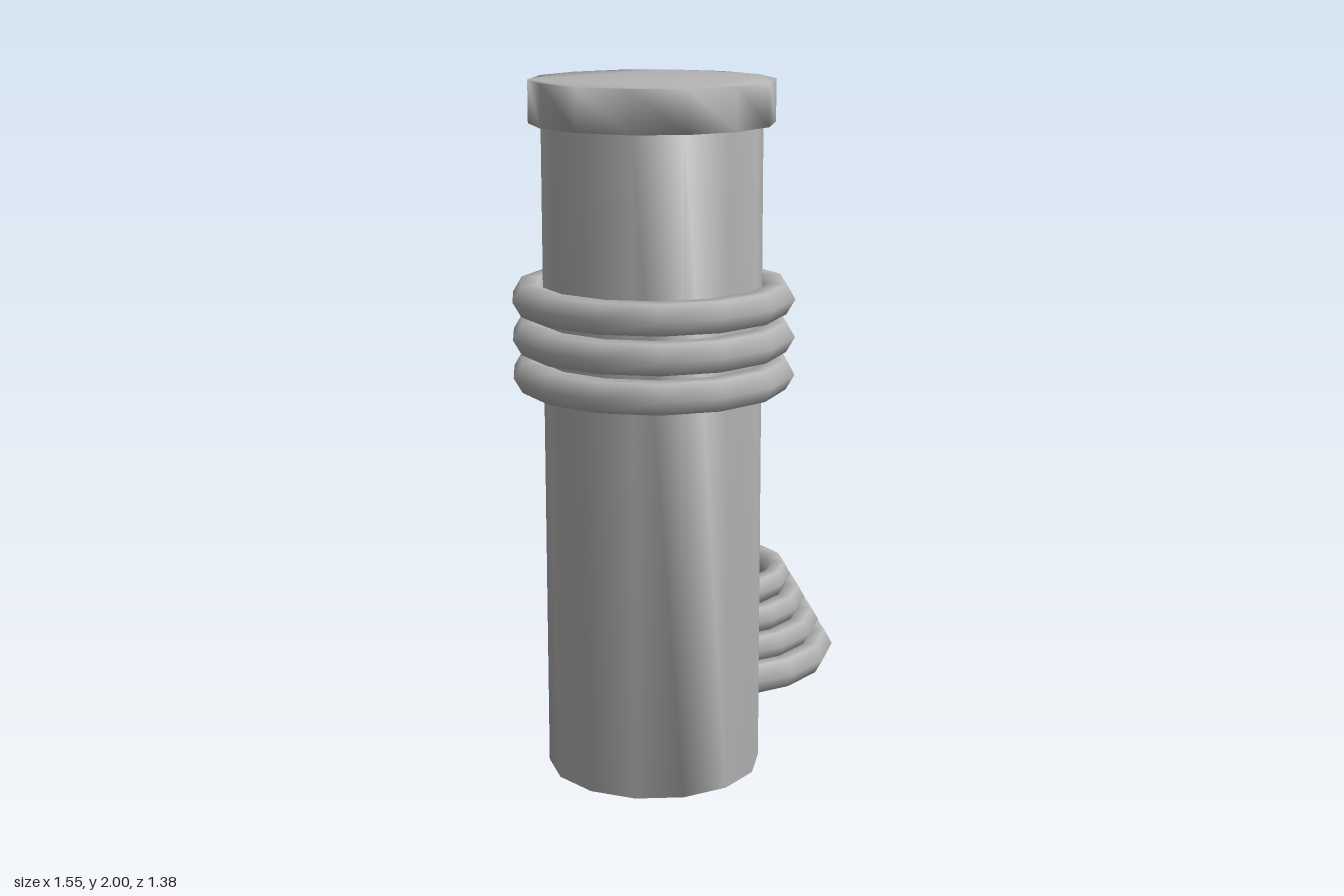
import * as THREE from 'three';
import { mergeVertices } from 'three/addons/utils/BufferGeometryUtils.js';

const grey = new THREE.MeshStandardMaterial({ color: 0xb4b4b4, side: THREE.DoubleSide });
grey.name = 'plain grey';

// Fourteen-sided upright prism with normals shared between sides and ends
function prism(name, radius, bottom, top) {
  const points = [];
  for (let i = 0; i < 14; i++) {
    const a = Math.PI / 2 + (i / 14) * Math.PI * 2;
    points.push(new THREE.Vector2(Math.cos(a) * radius, Math.sin(a) * radius));
  }
  let g = new THREE.ExtrudeGeometry(new THREE.Shape(points), { depth: top - bottom, bevelEnabled: false });
  g.rotateX(-Math.PI / 2);
  g.translate(0, bottom, 0);
  g.deleteAttribute('normal');
  g.deleteAttribute('uv');
  g = mergeVertices(g);
  g.computeVertexNormals();
  const mesh = new THREE.Mesh(g, grey);
  mesh.name = name;
  return mesh;
}

// Six-sided coil ring; its two ends leave a narrow notch on the +x side
function ring(name, outer, tube, halfHeight, y, sides) {
  const R = outer - tube;
  const g = new THREE.TorusGeometry(R, tube, 6, sides);
  const p = g.attributes.position;
  for (let i = 0; i < p.count; i++) {
    const u = i % (sides + 1);
    const open = 0.14 * (p.getX(i) - R);
    if (u === 0) p.setY(i, open);
    if (u === sides) p.setY(i, -open);
  }
  g.rotateX(-Math.PI / 2);
  g.scale(1, halfHeight / (tube * Math.sin(Math.PI / 3)), 1);
  const mesh = new THREE.Mesh(g, grey);
  mesh.name = name;
  mesh.position.y = y;
  return mesh;
}

export function createModel() {
  const model = new THREE.Group();

  // Post with its cap and three tight rings
  const post = new THREE.Group();
  post.name = 'post';
  post.position.set(-0.37, 0, 0.297);
  post.add(prism('postBody', 0.31, 0, 1.885));
  post.add(prism('postCap', 0.345, 1.88, 2));
  [1.177, 1.285, 1.393].forEach((y, i) => post.add(ring('postRing' + (i + 1), 0.405, 0.05, 0.043, y, 14)));
  model.add(post);

  // Coil of rings lying on the ground, narrowing upwards
  const coil = new THREE.Group();
  coil.name = 'groundCoil';
  coil.position.set(0.336, 0, -0.257);
  [
    [0.436, 0.05, 0.046, 0.047],
    [0.389, 0.046, 0.04, 0.131],
    [0.342, 0.044, 0.04, 0.21],
    [0.294, 0.042, 0.039, 0.289],
  ].forEach(([outer, tube, half, y], i) => coil.add(ring('coilRing' + (i + 1), outer, tube, half, y, 16)));
  model.add(coil);

  return model;
}
